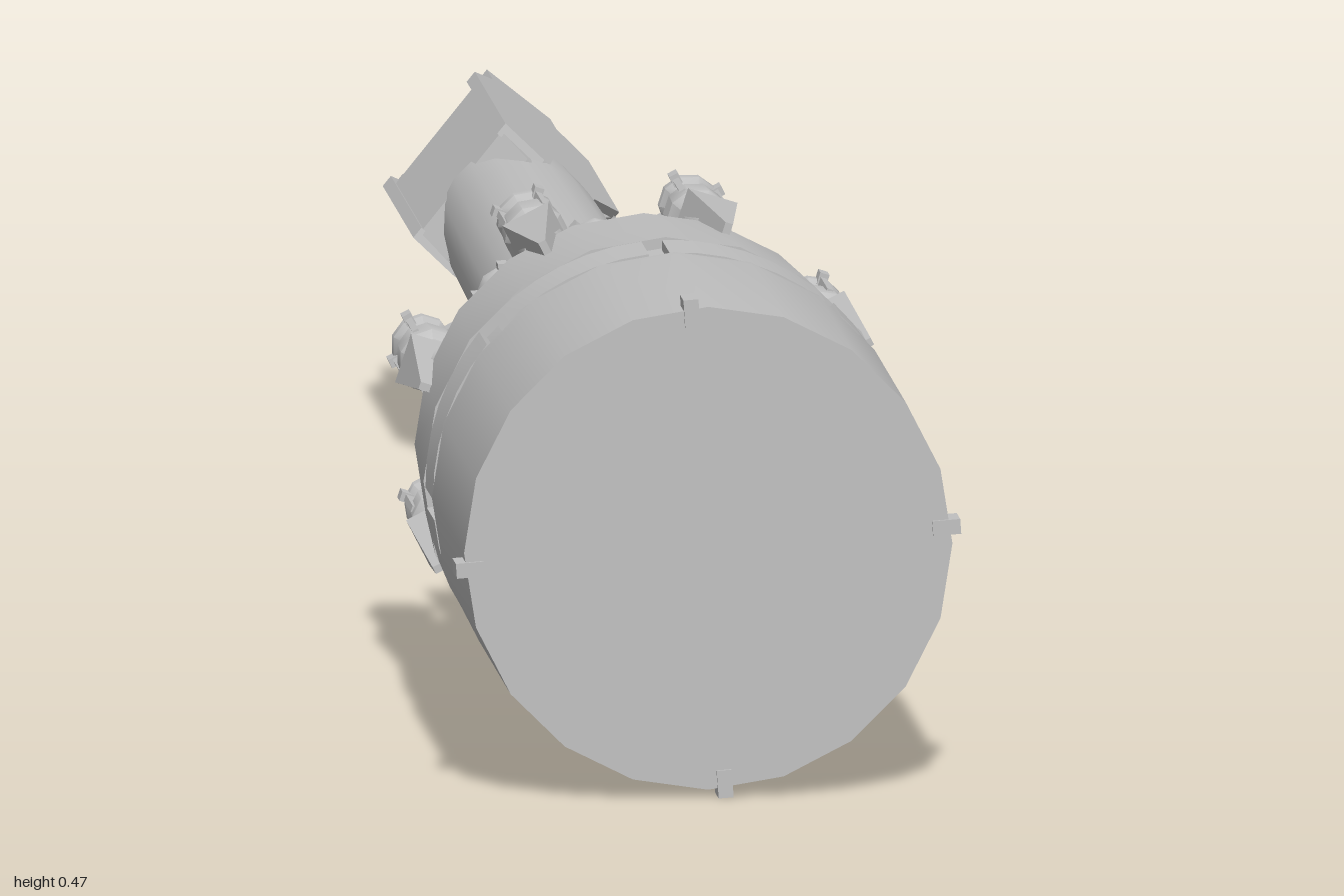
import * as THREE from 'three';
import { toCreasedNormals } from 'three/addons/utils/BufferGeometryUtils.js';

const metal = new THREE.MeshStandardMaterial({ color: 0xc0c0c0 });
metal.name = 'plain grey';

function part(parent, name, geometry) {
  const mesh = new THREE.Mesh(geometry, metal);
  mesh.name = name;
  parent.add(mesh);
  return mesh;
}

// Turned part along z; the [radius, z] profile runs from back to front
function turned(profile, sides, crease = 0.6) {
  const g = new THREE.LatheGeometry(profile.map(p => new THREE.Vector2(...p)), sides);
  g.rotateX(Math.PI / 2);
  return toCreasedNormals(g, crease);
}

// Mirrored outline of [halfWidth, z] points, extruded in y from y0 to y1
function plate(outline, y0, y1) {
  const right = outline.map(([x, z]) => new THREE.Vector2(x, z));
  const left = outline.map(([x, z]) => new THREE.Vector2(-x, z)).reverse();
  const g = new THREE.ExtrudeGeometry(new THREE.Shape([...right, ...left]),
    { depth: y1 - y0, bevelEnabled: false });
  g.rotateX(Math.PI / 2);
  g.translate(0, y1, 0);
  return g;
}

function box(w, h, d, x, y, z) {
  return new THREE.BoxGeometry(w, h, d).translate(x, y, z);
}

// Group at a given angle around the axis, with its local y pointing outwards
function radial(parent, name, degrees, radius) {
  const a = THREE.MathUtils.degToRad(degrees);
  const g = new THREE.Group();
  g.name = name;
  g.position.set(Math.cos(a) * radius, Math.sin(a) * radius, 0);
  g.rotation.z = a - Math.PI / 2;
  parent.add(g);
  return g;
}

// Nozzle pod with flared mouth, clamps, pylon and pointed fairing; z is its back end
function pod(parent, name, degrees, radius, z, s, length, fairing) {
  const g = radial(parent, name, degrees, radius);
  g.position.z = z;
  part(g, 'nozzle', turned([
    [0, 0.03], [0.012 * s, 0.025], [0.022 * s, 0], [0.027 * s, 0], [0.027 * s, 0.012],
    [0.019 * s, 0.025], [0.018 * s, 0.04], [0.027 * s, 0.045], [0.029 * s, 0.09],
    [0.022 * s, 0.1], [0.022 * s, length], [0, length]], 10, 0.8));
  for (let i = 0; i < 4; i++) {
    const clamp = radial(g, 'clamp', 45 + i * 90, 0.027 * s);
    part(clamp, 'clampTab', box(0.009, 0.012, 0.018, 0, 0, 0.009));
    part(clamp, 'clampRib', box(0.006, 0.01, 0.06, 0, -0.003, 0.045));
  }
  part(g, 'pylon', box(0.02 * s, 0.06, length - 0.06, 0, -0.03, length / 2 + 0.03));
  // Fairing narrows to a point towards the front
  const f = box(0.046 * s, 0.034 * s, fairing, 0, 0.013 * s, length - 0.06 + fairing / 2);
  const p = f.attributes.position;
  const tip = length - 0.06 + fairing;
  for (let i = 0; i < p.count; i++) {
    if (p.getZ(i) > tip - 0.001) p.setX(i, p.getX(i) * 0.15);
  }
  f.computeVertexNormals();
  part(g, 'fairing', f);
}

export function createModel() {
  const model = new THREE.Group();
  model.name = 'model';
  const body = new THREE.Group();
  body.name = 'body';
  body.position.y = 0.235;
  model.add(body);

  // Drum
  part(body, 'frontDrum', turned([
    [0, 0.715], [0.226, 0.715], [0.227, 0.73], [0.227, 0.997], [0, 0.997]], 20));
  part(body, 'drumGroove', turned([[0, 0.63], [0.215, 0.63], [0.215, 0.72], [0, 0.72]], 20));
  part(body, 'rearDrum', turned([[0, 0.45], [0.213, 0.45], [0.225, 0.635], [0, 0.635]], 20));

  // Raised pads around the groove
  for (let i = 0; i < 8; i++) {
    const a = (i * 45 + 6) * Math.PI / 180;
    const s = new THREE.Shape();
    s.absarc(0, 0, 0.224, a, a + 0.7, false);
    s.absarc(0, 0, 0.205, a + 0.7, a, true);
    const g = new THREE.ExtrudeGeometry(s, { depth: 0.064, bevelEnabled: false, curveSegments: 3 });
    part(body, 'groovePad', toCreasedNormals(g.translate(0, 0, 0.643), 0.6));
  }

  // Small tabs on the front rim
  for (let i = 0; i < 4; i++) {
    const tab = radial(body, 'rimTab', 4 + i * 90, 0.222);
    part(tab, 'tab', box(0.014, 0.026, 0.03, 0, 0, 0.985));
  }

  // Stepped core behind the drum
  part(body, 'core', turned([
    [0, 0.14], [0.08, 0.14], [0.1, 0.2], [0.105, 0.29], [0.16, 0.33], [0.175, 0.46], [0, 0.46]], 16));

  // Two staggered rings of pods
  for (let i = 0; i < 8; i++) {
    pod(body, 'outerPod', 27 + i * 45, 0.197, 0.272, 1.05, 0.18, 0.14);
    pod(body, 'innerPod', 4.5 + i * 45, 0.127, 0.14, 0.9, 0.2, 0.1);
  }

  // Neck and tapering shaft
  part(body, 'collar', turned([[0, 0.115], [0.074, 0.115], [0.084, 0.13], [0.084, 0.16], [0, 0.16]], 8));
  part(body, 'neck', turned([[0, 0], [0.07, 0], [0.07, 0.14], [0, 0.14]], 16));
  part(body, 'shaft', turned([
    [0, -0.65], [0.069, -0.65], [0.073, -0.55], [0.08, -0.1], [0.083, 0.01], [0.079, 0.02], [0, 0.02]], 20));

  // Tail: square bar between two side plates that end in prongs
  const tail = radial(body, 'tail', 51, 0);
  const side = [[0.03, -0.57], [0.068, -0.63], [0.068, -0.89], [0.038, -0.95], [0.038, -1]];
  part(tail, 'upperPlate', plate(side, 0.056, 0.068));
  part(tail, 'lowerPlate', plate(side, -0.068, -0.056));
  part(tail, 'tailBar', plate(
    [[0.045, -0.56], [0.066, -0.63], [0.066, -0.86], [0.03, -0.9], [0.03, -0.95]], -0.06, 0.06));

  return model;
}
